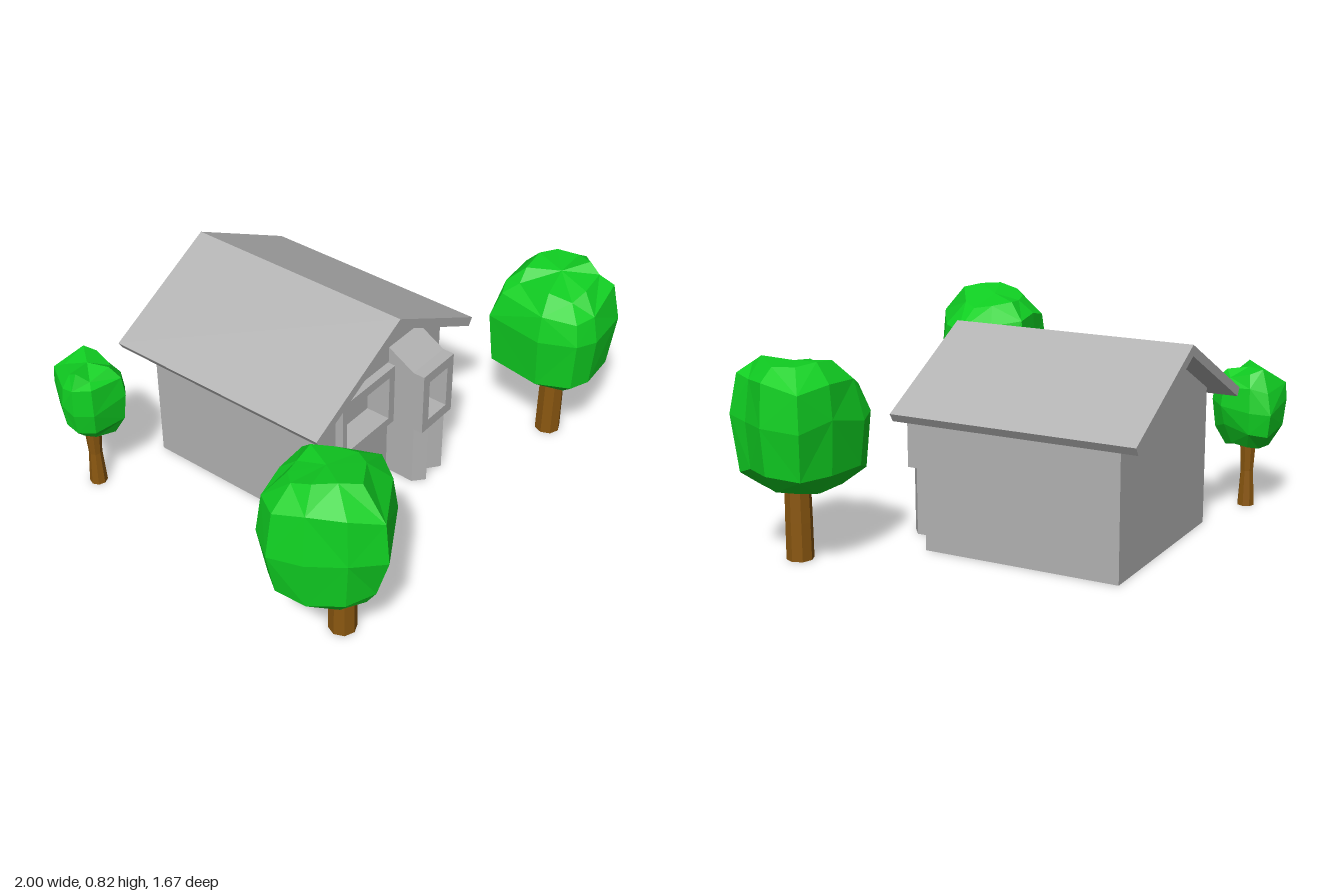
import * as THREE from 'three';

const material = (name, color, flat = true) => {
  const m = new THREE.MeshStandardMaterial({ color, flatShading: flat });
  m.name = name;
  return m;
};

const polygon = (points) => new THREE.Shape(points.map(([x, y]) => new THREE.Vector2(x, y)));
const rectangle = (x0, y0, x1, y1) => [[x0, y0], [x1, y0], [x1, y1], [x0, y1]];

// Extrudes an x/y outline from z0 to z1, with an optional opening
function slab(points, z0, z1, hole) {
  const shape = polygon(points);
  if (hole) shape.holes.push(polygon(hole));
  const g = new THREE.ExtrudeGeometry(shape, { depth: z1 - z0, bevelEnabled: false });
  return g.translate(0, 0, z0);
}

function seeded(seed) {
  let s = seed;
  return () => (s = (s * 16807) % 2147483647) / 2147483647;
}

// Faceted crown: a plan outline repeated in layers [height, scale, tilt along x]
function crownGeometry(outline, layers, seed) {
  const random = seeded(seed);
  const n = outline.length;
  const cx = outline.reduce((a, p) => a + p[0], 0) / n;
  const cz = outline.reduce((a, p) => a + p[1], 0) / n;
  const positions = [];
  const index = [];
  layers.forEach(([y, scale, tilt], i) => {
    for (const [x, z] of outline) {
      const s = i === 2 ? 1 : scale * (0.92 + 0.13 * random());
      const dx = (x - cx) * s;
      const rise = i === 0 ? random() * 0.03 : (random() - 0.5) * 0.05;
      positions.push(cx + dx, y + tilt * dx + rise, cz + (z - cz) * s);
    }
  });
  const top = layers.length - 1;
  const bottomCentre = layers.length * n;
  positions.push(cx, layers[0][0], cz, cx, layers[top][0] + 0.01, cz);
  for (let j = 0; j < n; j++) {
    const k = (j + 1) % n;
    for (let i = 0; i < top; i++) {
      const a = i * n + j, b = i * n + k, c = a + n, d = b + n;
      if ((i + j) % 2) index.push(a, c, b, b, c, d);
      else index.push(a, c, d, a, d, b);
    }
    index.push(bottomCentre, j, k);
    index.push(bottomCentre + 1, top * n + k, top * n + j);
  }
  const g = new THREE.BufferGeometry();
  g.setAttribute('position', new THREE.Float32BufferAttribute(positions, 3));
  g.setIndex(index);
  const flat = g.toNonIndexed();
  flat.computeVertexNormals();
  return flat;
}

const TREES = [
  {
    name: 'frontRightTree', trunk: [-0.7, 0.58], radii: [0.055, 0.052, 0.055], seed: 11,
    outline: [[-1, 0.48], [-0.92, 0.37], [-0.78, 0.355], [-0.62, 0.32], [-0.52, 0.44],
      [-0.45, 0.57], [-0.53, 0.69], [-0.77, 0.83], [-0.88, 0.74], [-0.96, 0.61]],
    layers: [[0.24, 0.66, 0], [0.33, 0.87, 0], [0.5, 1, 0], [0.68, 0.91, -0.1], [0.77, 0.58, -0.17]],
  },
  {
    name: 'frontLeftTree', trunk: [0.75, 0.555], radii: [0.053, 0.052, 0.05], seed: 47,
    outline: [[0.585, 0.33], [0.65, 0.315], [0.83, 0.33], [0.975, 0.375], [0.995, 0.53],
      [0.91, 0.66], [0.885, 0.75], [0.69, 0.765], [0.595, 0.73], [0.55, 0.58]],
    layers: [[0.28, 0.62, 0], [0.36, 0.92, 0], [0.56, 1, 0], [0.69, 0.91, 0.1], [0.76, 0.6, 0.2]],
  },
  {
    name: 'backRightTree', trunk: [-0.67, -0.7], radii: [0.036, 0.027, 0.036], seed: 83,
    outline: [[-0.8, -0.71], [-0.71, -0.845], [-0.56, -0.83], [-0.53, -0.75], [-0.55, -0.62],
      [-0.6, -0.565], [-0.75, -0.59], [-0.8, -0.65]],
    layers: [[0.26, 0.58, 0], [0.35, 0.9, 0], [0.44, 1, 0], [0.53, 0.92, 0], [0.58, 0.65, 0]],
  },
];

export function createModel() {
  const model = new THREE.Group();
  const grey = material('houseGrey', 0xb2b2b2);
  const green = material('leafGreen', 0x10cf22);
  const brown = material('barkBrown', 0x8a5710);

  const house = new THREE.Group();
  house.name = 'house';
  model.add(house);
  const add = (parent, name, geometry, mat) => {
    const mesh = new THREE.Mesh(geometry, mat);
    mesh.name = name;
    parent.add(mesh);
  };

  // Walls: solid body plus a front layer with the window opening
  const gable = [[-0.36, 0], [0.455, 0], [0.455, 0.56], [0.047, 0.776], [-0.36, 0.56]];
  const opening = rectangle(-0.205, 0.305, 0.065, 0.505);
  add(house, 'walls', slab(gable, -0.63, 0.11), grey);
  add(house, 'frontWall', slab(gable, 0.11, 0.18, opening), grey);
  add(house, 'windowFrame', slab(rectangle(-0.23, 0.27, 0.1, 0.545), 0.18, 0.215, opening), grey);

  // Gabled roof with overhang
  const roof = [[0.53, 0.518], [0.55, 0.55], [0.047, 0.818], [-0.46, 0.55], [-0.44, 0.518], [0.047, 0.775]];
  add(house, 'roof', slab(roof, -0.73, 0.27), grey);

  // Bay with a recessed window
  const bayOpening = rectangle(0.145, 0.315, 0.265, 0.5);
  add(house, 'bayFront', slab(rectangle(0.105, 0.27, 0.305, 0.545), 0.27, 0.35, bayOpening), grey);
  add(house, 'bayBody', slab(rectangle(0.105, 0.27, 0.305, 0.545), 0.17, 0.27), grey);

  // Sloping bay roof, drawn from the side and turned to run along x
  const bayRoof = slab([[-0.3, 0.545], [-0.17, 0.545], [-0.17, 0.62]], 0, 0.2);
  add(house, 'bayRoof', bayRoof.rotateY(Math.PI / 2).translate(0.105, 0, 0), grey);

  // Folded base below the bay, drawn in plan and stood upright
  const plan = [[0.105, -0.17], [0.105, -0.31], [0.15, -0.35], [0.205, -0.31], [0.255, -0.35],
    [0.305, -0.31], [0.305, -0.17]];
  add(house, 'bayBase', slab(plan, 0, 0.27).rotateX(-Math.PI / 2), grey);

  // Trees
  for (const t of TREES) {
    const tree = new THREE.Group();
    tree.name = t.name;
    const [r0, r1, r2] = t.radii;
    const profile = [[0, 0], [r0, 0], [r1, 0.15], [r2, 0.3], [0, 0.32]];
    const trunk = new THREE.LatheGeometry(profile.map(([r, y]) => new THREE.Vector2(r, y)), 8);
    add(tree, 'trunk', trunk.translate(t.trunk[0], 0, t.trunk[1]), brown);
    add(tree, 'crown', crownGeometry(t.outline, t.layers, t.seed), green);
    model.add(tree);
  }
  return model;
}
